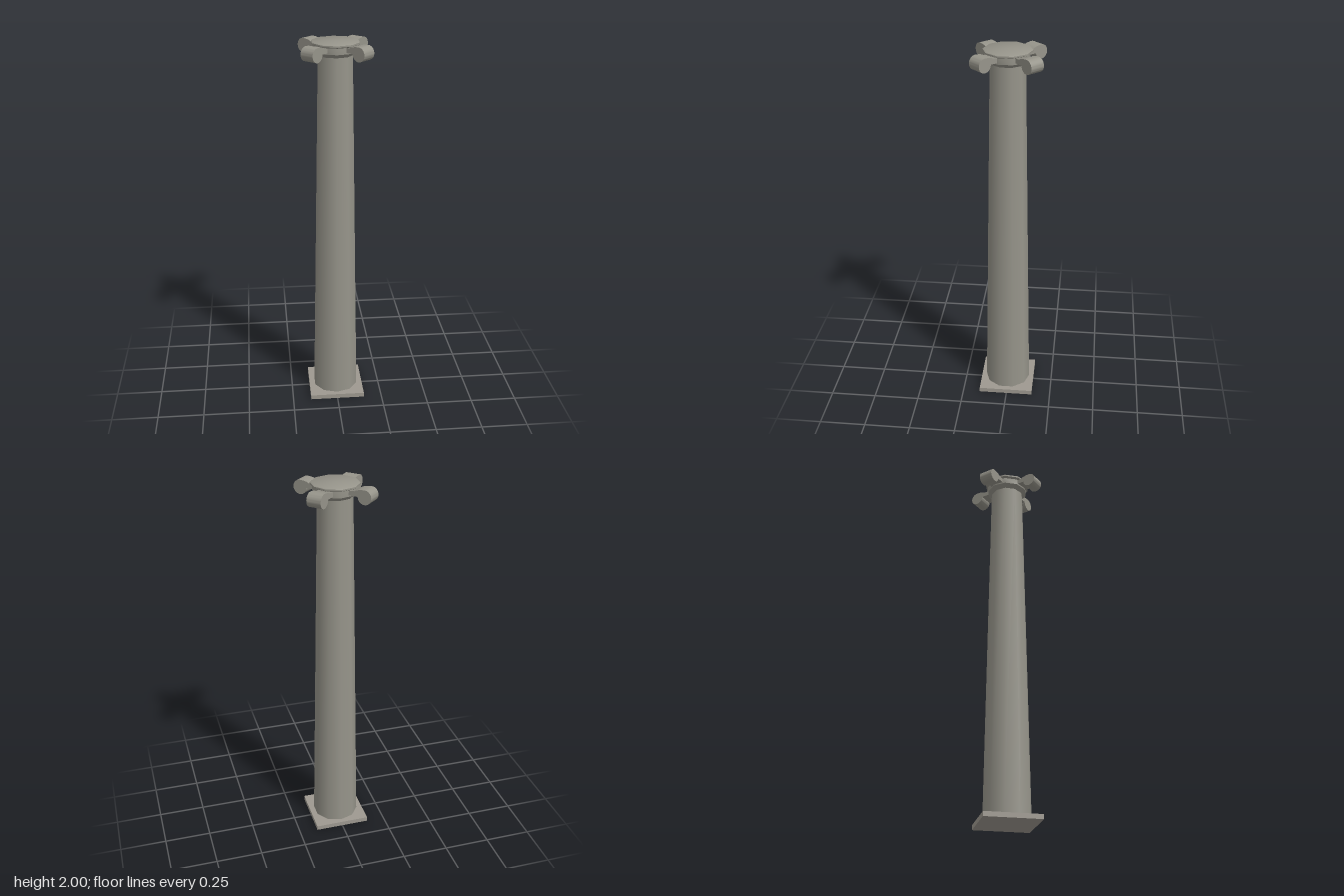
import * as THREE from 'three';
import { toCreasedNormals } from 'three/addons/utils/BufferGeometryUtils.js';

const SIDES = 10;
const CENTRE_Z = 0.005; // the shaft and plinth sit slightly forward of the scrolls

export function createModel() {
  const stone = new THREE.MeshStandardMaterial({ color: 0x96948a });
  stone.name = 'grey stone';
  const paleStone = new THREE.MeshStandardMaterial({ color: 0x9e9990 });
  paleStone.name = 'pale stone';

  const model = new THREE.Group();
  model.name = 'column';
  const add = (name, geometry, material, y, z = CENTRE_Z) => {
    const mesh = new THREE.Mesh(geometry, material);
    mesh.name = name;
    mesh.position.set(0, y, z);
    model.add(mesh);
    return mesh;
  };

  // Square plinth
  add('plinth', new THREE.BoxGeometry(0.3, 0.025, 0.3), paleStone, 0.0125);

  // Tapered ten-sided shaft
  add('shaft', new THREE.CylinderGeometry(0.09, 0.125, 1.915, SIDES, 1, true), stone, 0.9825);

  // Capital: flared neck, straight drum and a thin projecting top slab
  const profile = [
    [0.09, 1.93], [0.112, 1.95], [0.112, 1.982], [0.125, 1.988], [0.125, 1.996], [0.119, 2], [0, 2],
  ].map(([r, y]) => new THREE.Vector2(r, y));
  add('capital', toCreasedNormals(new THREE.LatheGeometry(profile, SIDES), 0.7), stone, 0);

  // Corner scroll: an arm sweeping out from the capital into a round curl
  const curl = { d: 0.179, y: 1.958, r: 0.0365 };
  const outline = new THREE.Shape();
  outline.moveTo(0.07, 1.957);
  outline.lineTo(0.147, 1.957);
  outline.absarc(curl.d, curl.y, curl.r, Math.PI, Math.PI * 2.5, false);
  outline.quadraticCurveTo(0.14, 1.993, 0.125, 1.982);
  outline.lineTo(0.07, 1.98);
  outline.closePath();
  const width = 0.078;
  const scroll = new THREE.ExtrudeGeometry(outline, { depth: width, bevelEnabled: false, curveSegments: 14 });
  scroll.translate(0, 0, -width / 2);
  const scrollGeometry = toCreasedNormals(scroll, 0.7);
  for (let i = 0; i < 4; i++) {
    add('cornerScroll', scrollGeometry, stone, 0, 0).rotation.y = Math.PI / 4 + (i * Math.PI) / 2;
  }

  return model;
}
